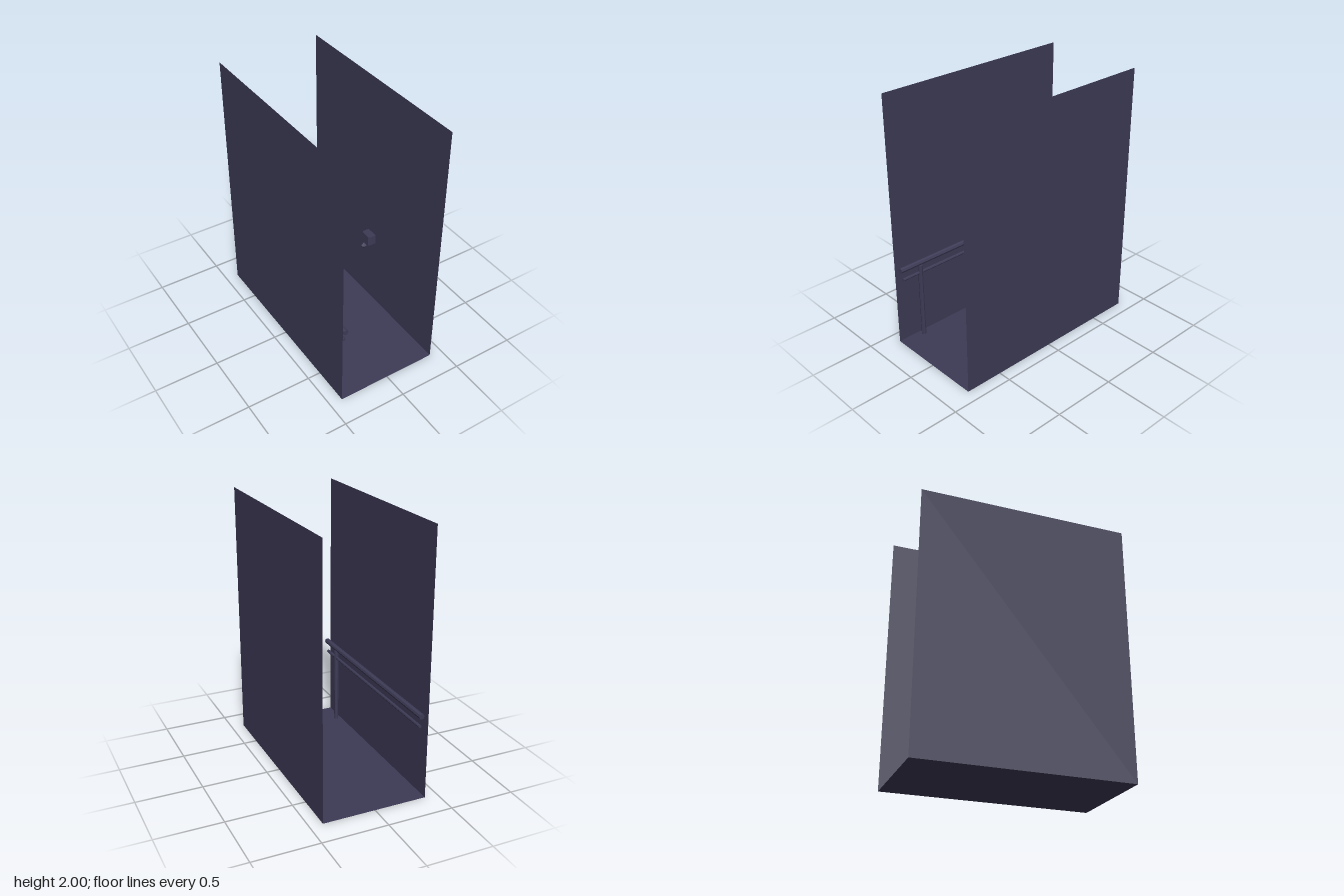
import * as THREE from 'three';

export function createModel() {
  const model = new THREE.Group();
  const slate = new THREE.MeshStandardMaterial({ color: 0x3d3b56, side: THREE.DoubleSide, flatShading: true });
  slate.name = 'slate';

  const W = 0.8, H = 2, D = 1.6;

  function add(name, geometry, x, y, z) {
    const mesh = new THREE.Mesh(geometry, slate);
    mesh.name = name;
    mesh.position.set(x, y, z);
    model.add(mesh);
    return mesh;
  }

  // Corridor shell: floor and two paper-thin walls, open at both ends and above
  add('floor', new THREE.PlaneGeometry(W, D).rotateX(-Math.PI / 2), 0, 0, 0);
  for (const side of [-1, 1]) {
    add(side < 0 ? 'rightWall' : 'leftWall',
      new THREE.PlaneGeometry(D, H).rotateY(-side * Math.PI / 2), side * W / 2, H / 2, 0);
  }

  // Narrow trim line high on the right wall
  add('wallTrim', new THREE.PlaneGeometry(1.54, 0.008).rotateY(Math.PI / 2), -0.397, 1.905, 0);

  // Handrail, lower rail and supporting post
  const rail = (r, length) => new THREE.CylinderGeometry(r, r, length, 8).rotateX(Math.PI / 2);
  add('handrail', rail(0.021, 1.56), -0.36, 0.64, 0);
  add('lowerRail', rail(0.012, 1.52), -0.36, 0.555, 0);
  add('railPost', new THREE.CylinderGeometry(0.018, 0.018, 0.615, 8), -0.36, 0.3075, 0.6);

  // Wall box with chamfered inner corners, extruded upwards
  const c = 0.01, inner = 0.338, half = 0.048;
  const outline = new THREE.Shape([
    [0.4, -half], [0.4, half], [inner + c, half], [inner, half - c],
    [inner, -half + c], [inner + c, -half],
  ].map(([x, z]) => new THREE.Vector2(x, z)));
  const boxGeometry = new THREE.ExtrudeGeometry(outline, { depth: 0.08, bevelEnabled: false });
  add('wallBox', boxGeometry.rotateX(-Math.PI / 2), 0, 0.58, 0);

  // Small faceted knob just below the box
  const knob = add('knob', new THREE.SphereGeometry(0.024, 6, 2), 0.325, 0.563, 0);
  knob.scale.y = 1.15;

  return model;
}
